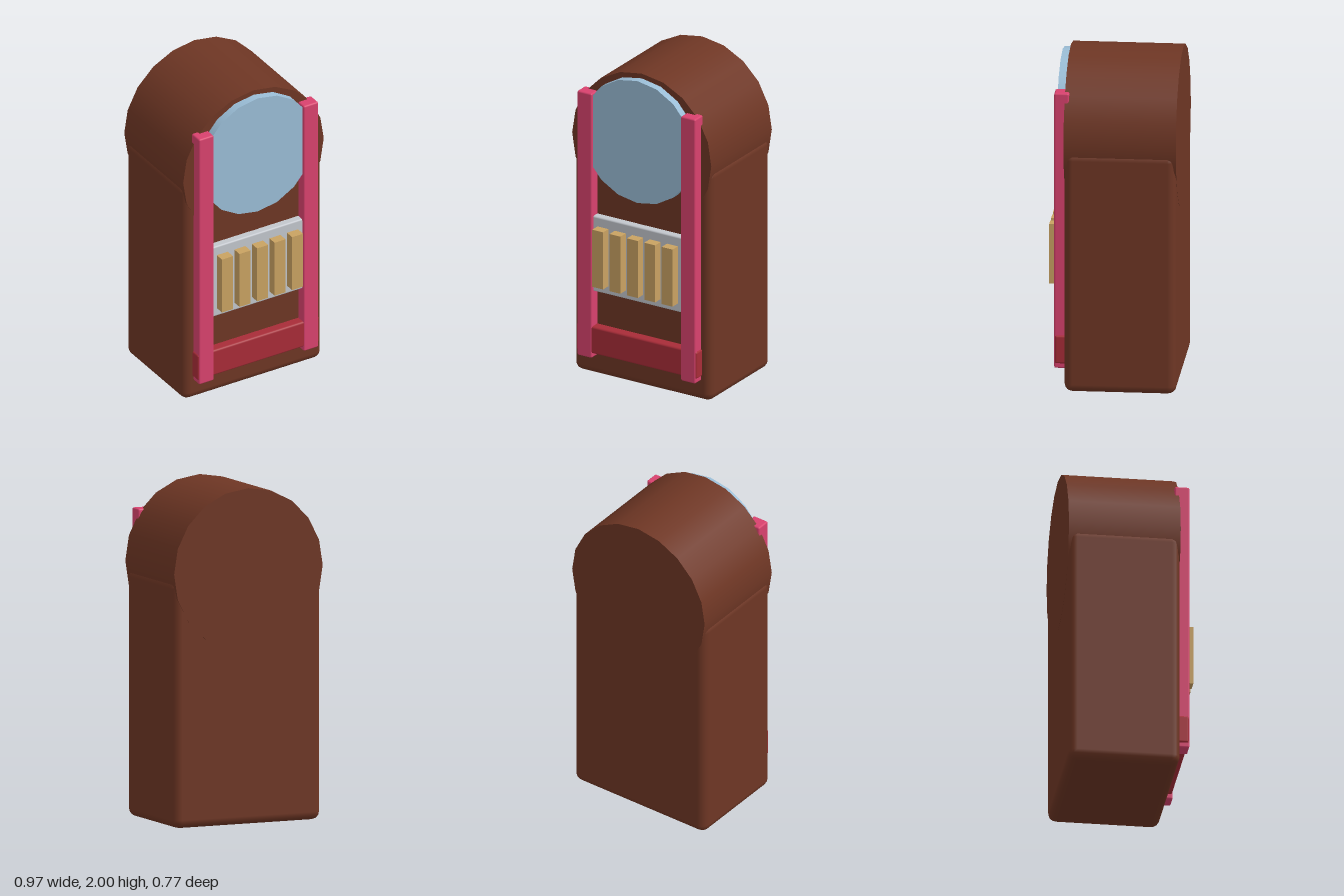
import * as THREE from 'three';
import { RoundedBoxGeometry } from 'three/addons/geometries/RoundedBoxGeometry.js';

const paint = (name, color) => {
  const m = new THREE.MeshStandardMaterial({ color });
  m.name = name;
  return m;
};

export function createModel() {
  const brown = paint('brown wood', 0x6e3624);
  const pink = paint('pink trim', 0xd9426e);
  const red = paint('red trim', 0xa82c38);
  const blue = paint('pale blue', 0x9abdd6);
  const silver = paint('silver', 0xc2c6cc);
  const tan = paint('tan', 0xc9a262);

  const model = new THREE.Group();
  model.name = 'jukebox';

  const add = (name, geometry, material) => {
    const mesh = new THREE.Mesh(geometry, material);
    mesh.name = name;
    model.add(mesh);
    return mesh;
  };

  // Box given by its limits on each axis, with optional rounded edges
  const box = (name, material, [x0, x1], [y0, y1], [z0, z1], r = 0) => {
    const size = [x1 - x0, y1 - y0, z1 - z0];
    const g = r ? new RoundedBoxGeometry(...size, 2, r) : new THREE.BoxGeometry(...size);
    add(name, g, material).position.set((x0 + x1) / 2, (y0 + y1) / 2, (z0 + z1) / 2);
  };

  // Cylinder lying along z, with a corner pointing straight up
  const drum = (name, material, radius, sides, y, z0, z1) => {
    const g = new THREE.CylinderGeometry(radius, radius, z1 - z0, sides).rotateX(Math.PI / 2);
    add(name, g, material).position.set(0, y, (z0 + z1) / 2);
  };

  // Cabinet with its arched top
  box('cabinet', brown, [-0.48, 0.48], [0, 1.475], [-0.382, 0.28], 0.05);
  drum('archedTop', brown, 0.485, 20, 1.515, -0.383, 0.281);

  // Round window
  drum('window', blue, 0.39, 18, 1.58, 0.25, 0.33);

  // Side rails
  for (const s of [-1, 1]) {
    const xs = s > 0 ? [0.31, 0.412] : [-0.412, -0.31];
    box(s > 0 ? 'leftRail' : 'rightRail', pink, xs, [0.13, 1.82], [0.255, 0.343], 0.01);
  }

  // Lower bar
  box('lowerBar', red, [-0.42, 0.42], [0.16, 0.332], [0.25, 0.339], 0.012);

  // Selector panel and its keys
  box('selectorPanel', silver, [-0.32, 0.32], [0.555, 1.035], [0.25, 0.325], 0.01);
  for (let i = -2; i <= 2; i++) {
    const x = i * 0.121;
    box('selectorKey', tan, [x - 0.038, x + 0.038], [0.61, 0.975], [0.3, 0.384]);
  }

  return model;
}
